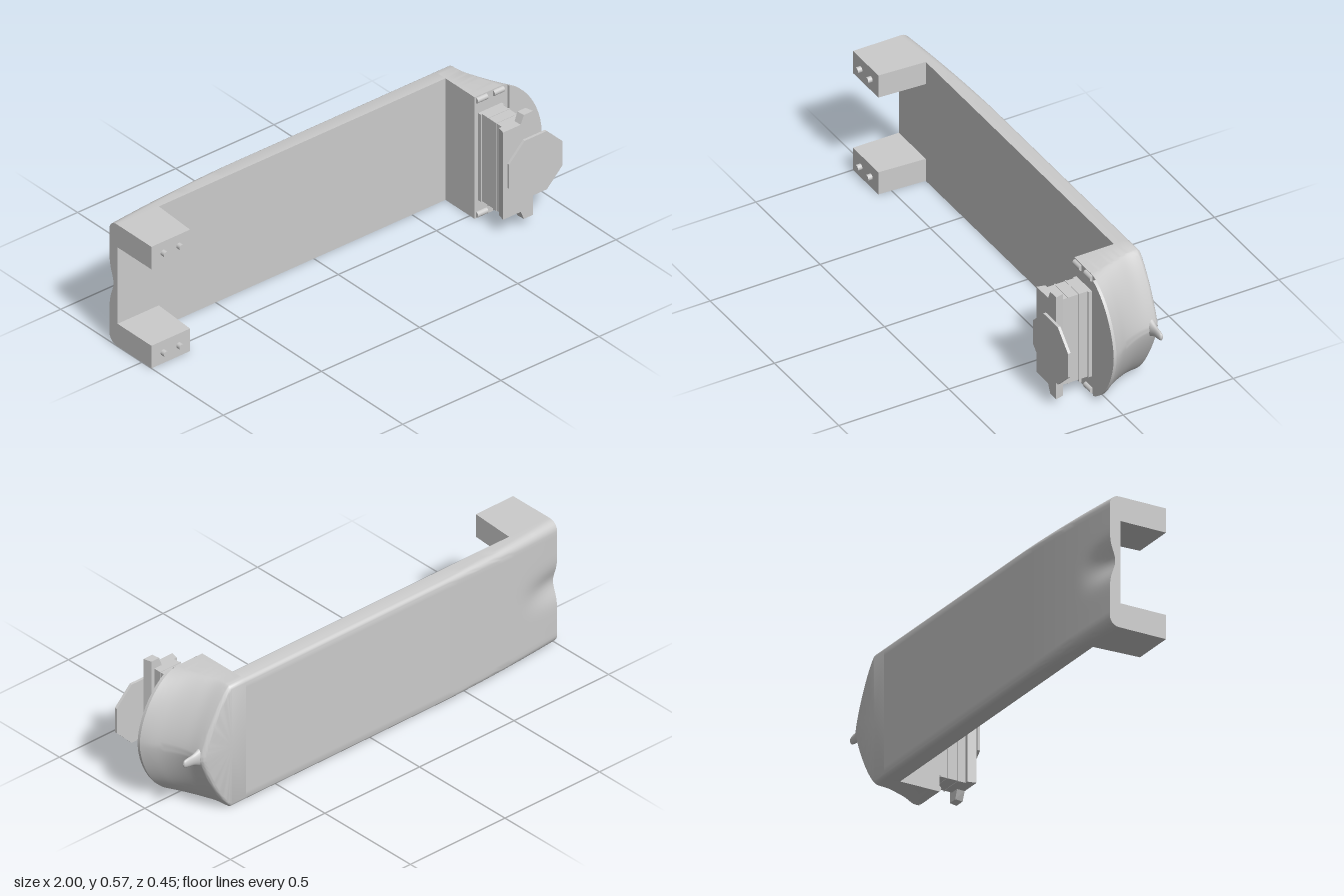
import * as THREE from 'three';
import { toCreasedNormals } from 'three/addons/utils/BufferGeometryUtils.js';

const H = 0.283, CY = 0.284, FRONT = -0.15, BACK = -0.225;
const mat = new THREE.MeshStandardMaterial({ color: 0xcccccc });
const clamp = THREE.MathUtils.clamp;
const V = (x, y, z) => new THREE.Vector3(x, y, z);

// Skin closed rings (counter-clockwise about the loft direction) and cap both ends.
function loft(rings, startCentre, endCentre, crease = 0.6) {
  const pos = [];
  const tri = (...p) => p.forEach(v => pos.push(v.x, v.y, v.z));
  const n = rings[0].length, last = rings[rings.length - 1];
  for (let j = 0; j < n; j++) {
    const k = (j + 1) % n;
    for (let i = 0; i < rings.length - 1; i++) {
      const a = rings[i][j], b = rings[i][k], c = rings[i + 1][k], d = rings[i + 1][j];
      tri(a, b, c);
      tri(a, c, d);
    }
    tri(startCentre, rings[0][k], rings[0][j]);
    tri(endCentre, last[j], last[k]);
  }
  const g = new THREE.BufferGeometry();
  g.setAttribute('position', new THREE.Float32BufferAttribute(pos, 3));
  return toCreasedNormals(g, crease);
}

// Cross-section of the long plate at x: flat front, rounded and gently tapering back.
function plateRing(x) {
  const k = clamp((-0.4 - x) / 0.6, 0, 1);
  const back = BACK + 0.025 * k * k, r = 0.022 + 0.02 * k;
  const notch = THREE.MathUtils.smoothstep(-x, 0.78, 1) * 0.025;
  const ring = [V(x, H, FRONT), V(x, -H, FRONT)];
  const corner = (side, t) => ring.push(
    V(x, side * (H - r * (1 - Math.cos(t))), back + r * (1 - Math.sin(t))));
  for (let i = 0; i <= 6; i++) corner(-1, i / 6 * Math.PI / 2);
  for (let i = 1; i < 28; i++) {
    const y = (H - r) * (i / 14 - 1);
    ring.push(V(x, y, back + notch * Math.exp(-((y / 0.06) ** 2))));
  }
  for (let i = 6; i >= 0; i--) corner(1, i / 6 * Math.PI / 2);
  return ring;
}

// Outline of the head: square at the plate, pointed towards +x.
function headRing(shoulder, tip, power, z, inset = 0) {
  const ring = [V(0.67, -H + inset, z)];
  for (let i = 0; i <= 40; i++) {
    const t = (i / 40 - 0.5) * Math.PI;
    const c = Math.max(Math.cos(t), 0), s = Math.sin(t);
    ring.push(V(shoulder + (tip - inset - shoulder) * c ** power, 
      (H - inset) * Math.sign(s) * Math.abs(s) ** power, z));
  }
  ring.push(V(0.67, H - inset, z));
  return ring;
}

function polygon(points) {
  return new THREE.Shape(points.map(p => new THREE.Vector2(p[0], p[1])));
}

export function createModel() {
  const model = new THREE.Group();
  model.position.y = CY;
  const root = new THREE.Group();
  root.add(model);
  const add = (name, geo, x = 0, y = 0, z = 0) => {
    const m = new THREE.Mesh(geo, mat);
    m.name = name;
    m.position.set(x, y, z);
    model.add(m);
    return m;
  };
  const extrude = (shape, depth) => new THREE.ExtrudeGeometry(shape, { depth, bevelEnabled: false });

  // Long plate
  const plate = [];
  for (let i = 0; i <= 40; i++) plate.push(plateRing(-1 + 1.67 * (i / 40) ** 1.5));
  add('plate', loft(plate, V(-1, 0, FRONT), V(0.67, 0, FRONT)));

  // Head: rounded back edge, then flaring forwards to the wide rim
  const flare = new THREE.CatmullRomCurve3([
    V(0.745, 0.9, -0.203), V(0.75, 0.905, -0.15), V(0.765, 0.92, -0.1),
    V(0.78, 0.945, -0.05), V(0.795, 0.98, 0), V(0.8, 1, 0.03)]);
  const head = [];
  for (let i = 6; i > 0; i--) {
    const t = i / 6 * Math.PI / 2, r = 0.022;
    head.push(headRing(0.745, 0.9, 1.6, BACK + r * (1 - Math.sin(t)), r * (1 - Math.cos(t))));
  }
  for (let i = 0; i <= 20; i++) {
    const p = flare.getPoint(i / 20);
    head.push(headRing(p.x, p.y, 1.6 - 0.45 * i / 20, p.z));
  }
  add('head', loft(head, V(0.74, 0, BACK), V(0.8, 0, 0.03)));

  // Raised rim on the front of the nose
  const rim = headRing(0.8, 1, 1.15, 0).filter(p => p.x > 0.825).map(p => [p.x, p.y]);
  add('noseRim', toCreasedNormals(extrude(polygon(rim), 0.013), 0.5), 0, 0, 0.03);

  // Spike at the tip of the back
  const spike = new THREE.SplineCurve([[0.055, 0.85], [0.034, 0.89], [0.021, 0.92], [0.017, 0.95],
    [0.012, 0.967], [0, 0.972]].map(p => new THREE.Vector2(...p))).getPoints(20);
  spike.forEach(p => { p.x = Math.max(p.x, 0); });
  const spikeGeo = new THREE.LatheGeometry(spike, 24);
  spikeGeo.rotateZ(-Math.PI / 2);
  spikeGeo.scale(1, 1.15, 0.85);
  const spikeMesh = add('spike', spikeGeo, 0, 0, -0.193);
  spikeMesh.scale.z = 0.7;

  for (const s of [-1, 1]) {
    // Feet with a slightly slanted inner face
    const foot = polygon([[-1, 0.15], [-0.79, 0.15], [-0.803, -0.058], [-1, -0.058]].reverse());
    const footGeo = extrude(foot, 0.105);
    footGeo.rotateX(Math.PI / 2);
    footGeo.scale(1, 1, -1);
    footGeo.rotateX(0);
    // undo the mirror in z by turning about x instead
    footGeo.scale(1, -1, 1);
    footGeo.computeBoundingBox();
    const b = footGeo.boundingBox;
    footGeo.translate(0, -(b.min.y + b.max.y) / 2, FRONT - b.min.z);
    const fp = footGeo.attributes.position;
    for (let i = 0; i < fp.count; i++) {
      if (fp.getX(i) > -0.9) fp.setX(i, fp.getZ(i) > -0.05 ? -0.803 : -0.79);
    }
    footGeo.computeVertexNormals();
    add('foot', footGeo, 0, s * (H - 0.0525), 0);

    // Contact pins on each foot
    for (const x of [-0.94, -0.86]) {
      const pin = new THREE.CylinderGeometry(0.013, 0.013, 0.03, 20);
      pin.rotateX(Math.PI / 2);
      add('pin', pin, x, s * 0.232, 0.063);
    }

    // Hinge barrels at the edges of the head
    for (const x of [0.703, 0.788]) {
      const barrel = new THREE.CylinderGeometry(0.013, 0.013, 0.052, 16);
      barrel.rotateZ(Math.PI / 2);
      add('hingeBarrel', barrel, x, s * 0.266, 0.03);
    }
  }

  // Neck block with two raised bands
  add('neck', new THREE.BoxGeometry(0.105, 0.406, 0.145), 0.7475, 0, 0.0975);
  add('neckBase', new THREE.BoxGeometry(0.12, 0.406, 0.02), 0.7475, 0, 0.036);
  for (const z of [0.083, 0.132]) {
    add('neckBand', new THREE.BoxGeometry(0.11, 0.41, 0.006), 0.7475, 0, z);
  }

  // Flange with a tab at each end, widening towards the front
  const half = [[0.825, 0.242], [0.778, 0.242], [0.762, 0.203], [0.672, 0.203]];
  const outline = [...half, ...half.map(([x, y]) => [x, -y]).reverse()];
  const flange = extrude(polygon(outline), 0.036);
  const p = flange.attributes.position;
  for (let i = 0; i < p.count; i++) {
    if (p.getZ(i) < 0.01) p.setX(i, 0.7485 + (p.getX(i) - 0.7485) * 0.88);
  }
  flange.computeVertexNormals();
  add('flange', flange, 0, 0, 0.166);

  // Octagonal disc held just in front of the flange
  const disc = new THREE.CylinderGeometry(0.147, 0.147, 0.012, 8, 1).toNonIndexed();
  disc.computeVertexNormals();
  disc.rotateY(Math.PI / 8);
  disc.rotateX(Math.PI / 2);
  add('disc', disc, 0.82, 0.003, 0.219);
  return root;
}
